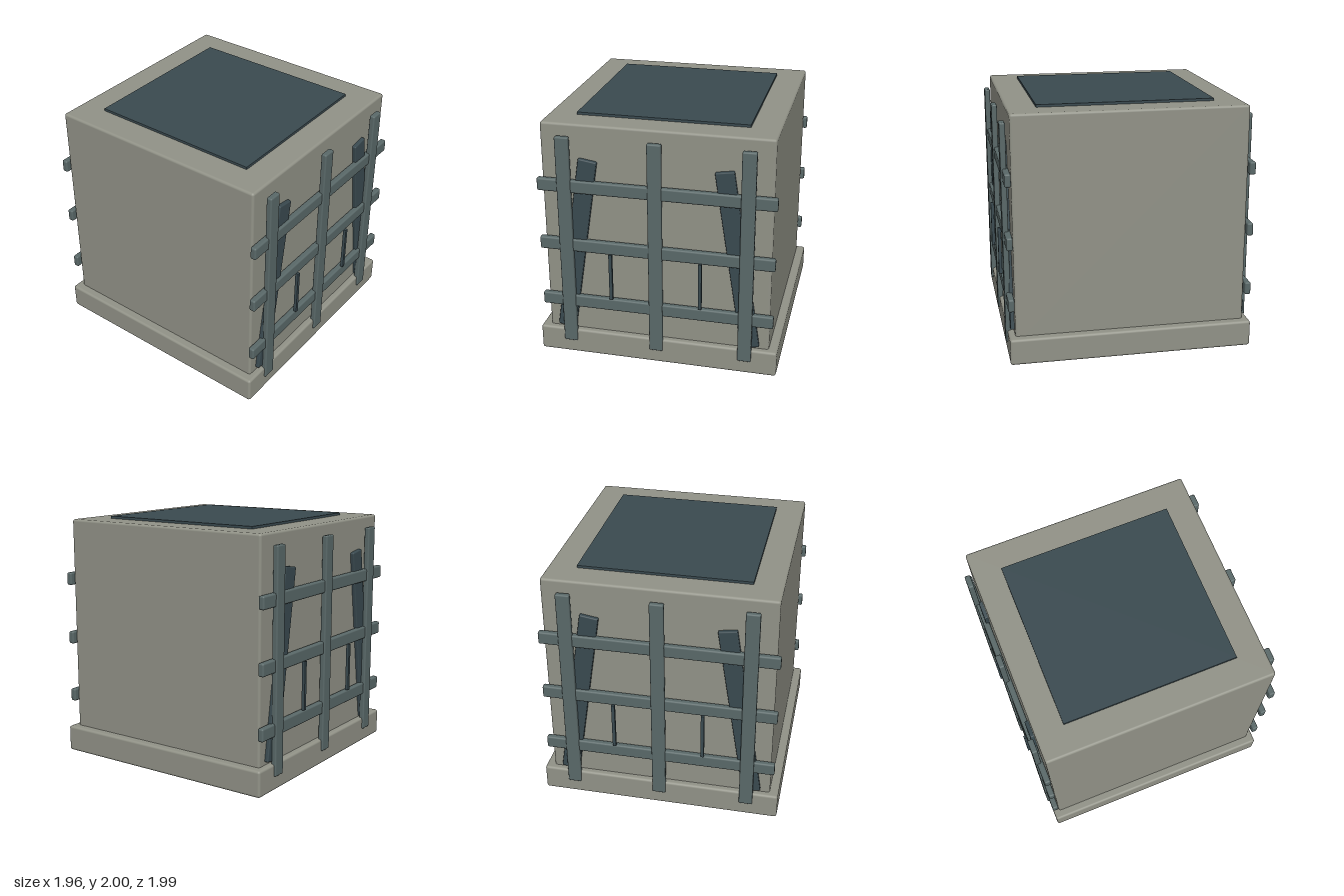
import * as THREE from 'three';
import { RoundedBoxGeometry } from 'three/addons/geometries/RoundedBoxGeometry.js';

export function createModel() {
  const stone = new THREE.MeshStandardMaterial({ name: 'stone', color: 0x929388 });
  const iron = new THREE.MeshStandardMaterial({ name: 'iron', color: 0x5a6969 });
  const dark = new THREE.MeshStandardMaterial({ name: 'dark slate', color: 0x3a4a50 });

  // Adds a box, with rounded edges when a radius is given
  function box(parent, name, material, size, position, radius = 0) {
    const geometry = radius
      ? new RoundedBoxGeometry(...size, 2, radius)
      : new THREE.BoxGeometry(...size);
    const mesh = new THREE.Mesh(geometry, material);
    mesh.name = name;
    mesh.position.set(...position);
    parent.add(mesh);
    return mesh;
  }

  const model = new THREE.Group();
  model.name = 'barredBlock';

  // Plinth and main block
  box(model, 'base', stone, [1.955, 0.213, 1.95], [0, 0.1095, 0], 0.02);
  box(model, 'body', stone, [1.815, 1.83, 1.85], [0, 1.065, 0], 0.02);

  // Dark panels on the top and the underside
  box(model, 'topPanel', dark, [1.36, 0.03, 1.4], [0, 1.985, 0]);
  box(model, 'bottomPanel', dark, [1.36, 0.008, 1.4], [0, 0.004, 0]);

  // Grille, repeated on the front and the back
  function grille(name) {
    const group = new THREE.Group();
    group.name = name;
    for (const x of [-0.72, 0, 0.72]) {
      box(group, 'verticalBar', iron, [0.11, 1.775, 0.046], [x, 1.0025, 0.967], 0.012);
    }
    for (const y of [0.485, 0.985, 1.485]) {
      box(group, 'horizontalBar', iron, [1.88, 0.104, 0.05], [0, y, 0.953], 0.014);
    }
    for (const side of [-1, 1]) {
      const brace = box(group, 'slantedBrace', dark, [0.148, 1.49, 0.05], [side * 0.645, 0.967, 0.931], 0.01);
      brace.rotation.z = side * 0.154;
      box(group, 'thinRod', dark, [0.026, 0.396, 0.026], [side * 0.36, 0.743, 0.983]);
    }
    model.add(group);
    return group;
  }
  grille('frontGrille');
  grille('backGrille').rotation.y = Math.PI;

  return model;
}
